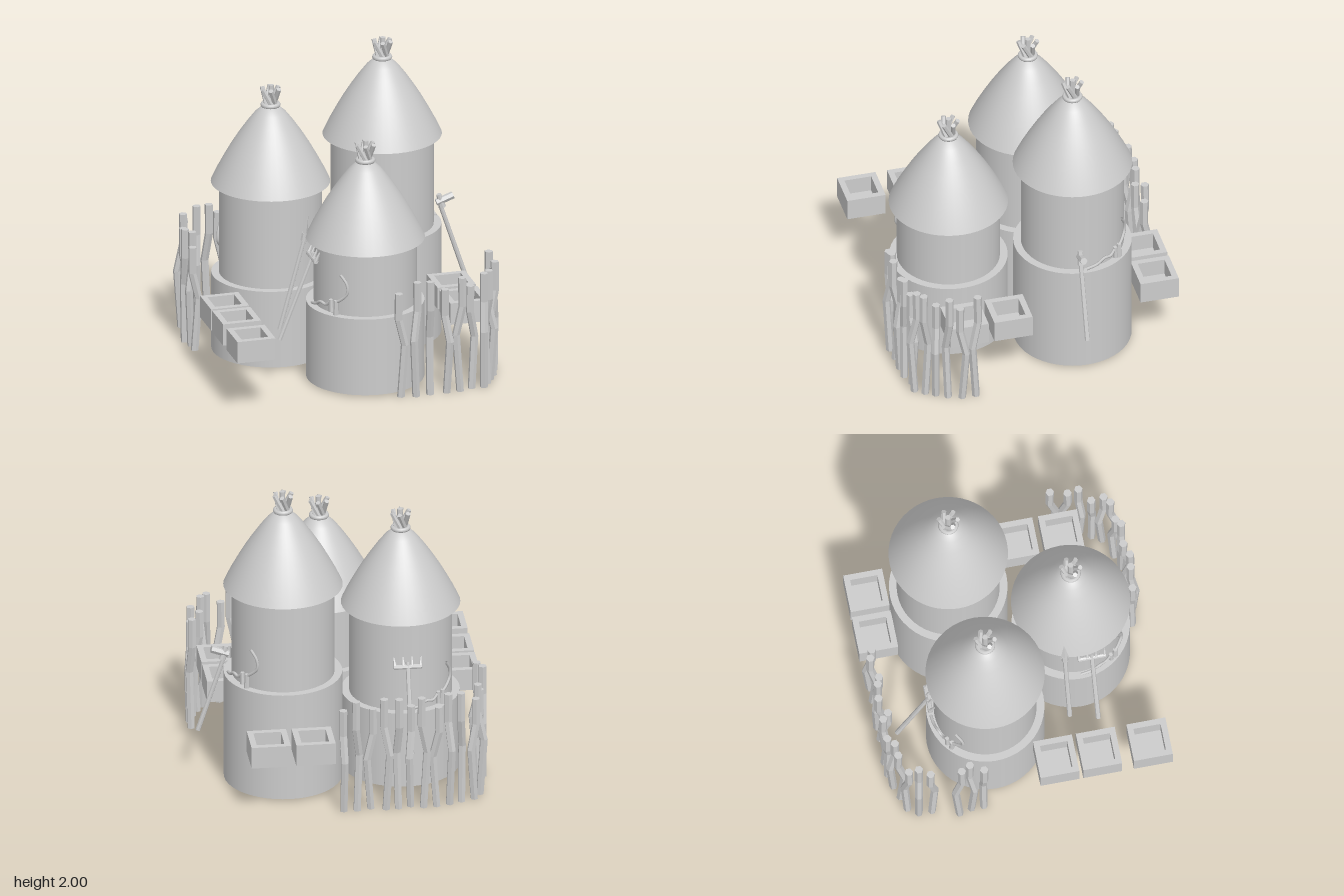
import * as THREE from 'three';

const mat = new THREE.MeshStandardMaterial({ color: 0xcccccc, side: THREE.DoubleSide });
const flat = new THREE.MeshStandardMaterial({ color: 0xcccccc, side: THREE.DoubleSide, flatShading: true });
const V = (x, y, z) => new THREE.Vector3(x, y, z);

function add(parent, name, geometry, material = mat) {
  const mesh = new THREE.Mesh(geometry, material);
  mesh.name = name;
  parent.add(mesh);
  return mesh;
}

// Round stick between two points
function stick(parent, name, a, b, r0, r1 = r0, sides = 8) {
  const d = b.clone().sub(a);
  const mesh = add(parent, name, new THREE.CylinderGeometry(r1, r0, d.length(), sides), flat);
  mesh.position.copy(a).add(b).multiplyScalar(0.5);
  mesh.quaternion.setFromUnitVectors(V(0, 1, 0), d.normalize());
  return mesh;
}

// Wide base, narrower wall, thatched roof and bundle of sticks
function hut(x, z, ledge, eave) {
  const g = new THREE.Group();
  g.name = 'hut';
  g.position.set(x, 0, z);
  const lathe = (name, pts) =>
    add(g, name, new THREE.LatheGeometry(pts.map(p => new THREE.Vector2(...p)), 48));
  lathe('base', [[0.377, 0.01], [0.377, ledge]]);
  lathe('ledge', [[0.377, ledge], [0.32, ledge]]);
  lathe('wall', [[0.328, ledge], [0.328, eave + 0.02]]);
  lathe('eaveUnderside', [[0.32, eave + 0.012], [0.38, eave]]);
  const profile = [[0.38, 0], [0.345, 0.075], [0.3, 0.16], [0.255, 0.24], [0.205, 0.32],
    [0.15, 0.4], [0.1, 0.465], [0.05, 0.51], [0, 0.52]];
  lathe('roof', profile.map(([r, y]) => [r, y + eave]));

  const tie = add(g, 'roofTie', new THREE.TorusGeometry(0.05, 0.015, 8, 20));
  tie.rotation.x = Math.PI / 2;
  tie.position.y = eave + 0.518;
  for (let i = 0; i < 6; i++) {
    const a = i * Math.PI / 3 + 0.3, b = a + 1.5;
    stick(g, 'roofStick', V(0.035 * Math.cos(a), eave + 0.5, 0.035 * Math.sin(a)),
      V(0.06 * Math.cos(b), eave + 0.63, 0.06 * Math.sin(b)), 0.016, 0.016, 6);
  }
  stick(g, 'roofStick', V(0, eave + 0.5, 0), V(0.005, eave + 0.65, 0), 0.018);
  return g;
}

// Sickle standing on the ledge and a second one lying along it; local +x faces outward
function sickles(parent, ledge) {
  const on = (a, y, r = 0.352) => V(r * Math.cos(a), ledge + y, -r * Math.sin(a));
  const blade = pts => {
    const geo = new THREE.TubeGeometry(new THREE.CatmullRomCurve3(pts), 20, 0.01, 6);
    add(parent, 'sickleBlade', geo);
  };
  stick(parent, 'sickleHandle', on(0.73, 0.005), on(0.74, 0.1), 0.018, 0.014);
  blade([on(0.74, 0.09), on(0.83, 0.11), on(0.96, 0.16), on(0.95, 0.22), on(0.83, 0.28)]);
  stick(parent, 'sickleHandle', on(0.62, 0.1), on(0.63, 0.02), 0.013, 0.017);
  blade([on(0.62, 0.09), on(0.5, 0.055), on(0.36, 0.06), on(0.2, 0.03), on(0.0, 0.012)]);
}

// Long tools leaning on the wall; local +x faces outward
function leaningTool(parent, kind, z, foot, topY) {
  const g = new THREE.Group();
  g.name = kind;
  const top = V(0.36, topY, z);
  stick(g, 'pole', V(foot, 0.33, z), top, 0.016, 0.014);
  if (kind === 'mallet') {
    stick(g, 'malletHead', V(0.345, 0.855, z), V(0.455, 0.895, z), 0.024, 0.024, 6);
    stick(g, 'poleEnd', V(0.385, 0.82, z), V(0.36, 0.91, z), 0.024, 0.016);
  } else if (kind === 'rake') {
    stick(g, 'rakeBar', V(0.37, topY - 0.03, z - 0.09), V(0.37, topY - 0.03, z + 0.09), 0.016);
    for (let i = -1; i <= 1; i += 2 / 3) {
      stick(g, 'rakeTine', V(0.37, topY - 0.03, z + i * 0.08),
        V(0.345, topY + 0.03, z + i * 0.088), 0.015, 0.004, 6);
    }
  } else {
    const head = stick(g, 'spearHead', V(0.37, topY - 0.02, z), V(0.345, topY + 0.12, z), 0.028, 0.002, 4);
    head.scale.x = 0.7;
    stick(g, 'spearBinding', V(0.375, topY - 0.05, z), V(0.365, topY, z), 0.022);
  }
  parent.add(g);
}

// Shallow open square box
function openBox(x, z) {
  const square = s => [[-s, -s], [s, -s], [s, s], [-s, s]].map(p => new THREE.Vector2(...p));
  const shape = new THREE.Shape(square(0.126));
  shape.holes.push(new THREE.Path(square(0.088)));
  const g = new THREE.Group();
  g.name = 'openBox';
  g.position.set(x, 0.36, z);
  const walls = add(g, 'boxWalls', new THREE.ExtrudeGeometry(shape, { depth: 0.145, bevelEnabled: false }), flat);
  walls.rotation.x = -Math.PI / 2;
  const floor = add(g, 'boxFloor', new THREE.BoxGeometry(0.19, 0.03, 0.19), flat);
  floor.position.y = 0.02;
  return g;
}

// Crooked fence post: a tapered cylinder bent by two kinks
function post(x, z, i) {
  const h = [0.7, 0.77, 0.77, 0.7, 0.77][i % 5];
  const geo = new THREE.CylinderGeometry(0.027, 0.025, h, 6, 4);
  const p = geo.attributes.position;
  const bend = [0, 0.01, 0.02, -0.012, -0.01];
  const a = i * 2.4;
  for (let k = 0; k < p.count; k++) {
    const level = Math.round((p.getY(k) / h + 0.5) * 4);
    const b = bend[level] * 1.3;
    p.setX(k, p.getX(k) + b * Math.cos(a));
    p.setZ(k, p.getZ(k) + b * Math.sin(a));
  }
  geo.computeVertexNormals();
  const mesh = new THREE.Mesh(geo, flat);
  mesh.name = 'fencePost';
  mesh.position.set(x, h / 2, z);
  return mesh;
}

export function createModel() {
  const model = new THREE.Group();
  model.name = 'hutVillage';

  // Three huts, each with tools turned to its outer side
  const huts = [
    { x: -0.387, z: -0.2, ledge: 0.525, eave: 1.14, turn: Math.PI / 2, tools: [['rake', 0, 0.57, 0.88]] },
    { x: 0.378, z: -0.29, ledge: 0.74, eave: 1.35, turn: 0, tools: [['mallet', 0.045, 0.54, 0.87]] },
    { x: 0.055, z: 0.44, ledge: 0.525, eave: 0.95, turn: Math.PI,
      tools: [['rake', -0.065, 0.585, 0.9], ['spear', 0.11, 0.535, 0.97]] },
  ];
  for (const h of huts) {
    const g = hut(h.x, h.z, h.ledge, h.eave);
    const tools = new THREE.Group();
    tools.name = 'tools';
    tools.rotation.y = h.turn;
    sickles(tools, h.ledge);
    h.tools.forEach(t => leaningTool(tools, ...t));
    g.add(tools);
    model.add(g);
  }

  // Boxes
  const boxes = [[-0.8, 0.18], [-0.8, 0.457], [-0.8, 0.785], [0.69, 0.213], [0.69, 0.502],
    [0.245, -0.79], [0.532, -0.79]];
  boxes.forEach(([x, z]) => model.add(openBox(x, z)));

  // Two curved runs of fence
  const front = [[0.17, 0.86], [0.265, 0.88], [0.36, 0.87], [0.47, 0.87], [0.56, 0.865], [0.645, 0.835],
    [0.725, 0.84], [0.765, 0.78], [0.8, 0.72], [0.84, 0.65], [0.87, 0.565], [0.87, 0.475]];
  const back = [[-0.86, -0.3], [-0.86, -0.38], [-0.88, -0.46], [-0.83, -0.63], [-0.83, -0.715],
    [-0.785, -0.78], [-0.7, -0.81], [-0.62, -0.84], [-0.535, -0.86], [-0.45, -0.865], [-0.37, -0.84],
    [-0.29, -0.86], [-0.21, -0.865], [-0.115, -0.84], [-0.025, -0.86], [0.06, -0.86]];
  [front, back].forEach((run, n) => {
    const fence = new THREE.Group();
    fence.name = n ? 'backFence' : 'frontFence';
    run.forEach(([x, z], i) => fence.add(post(x, z, i)));
    model.add(fence);
  });
  return model;
}
